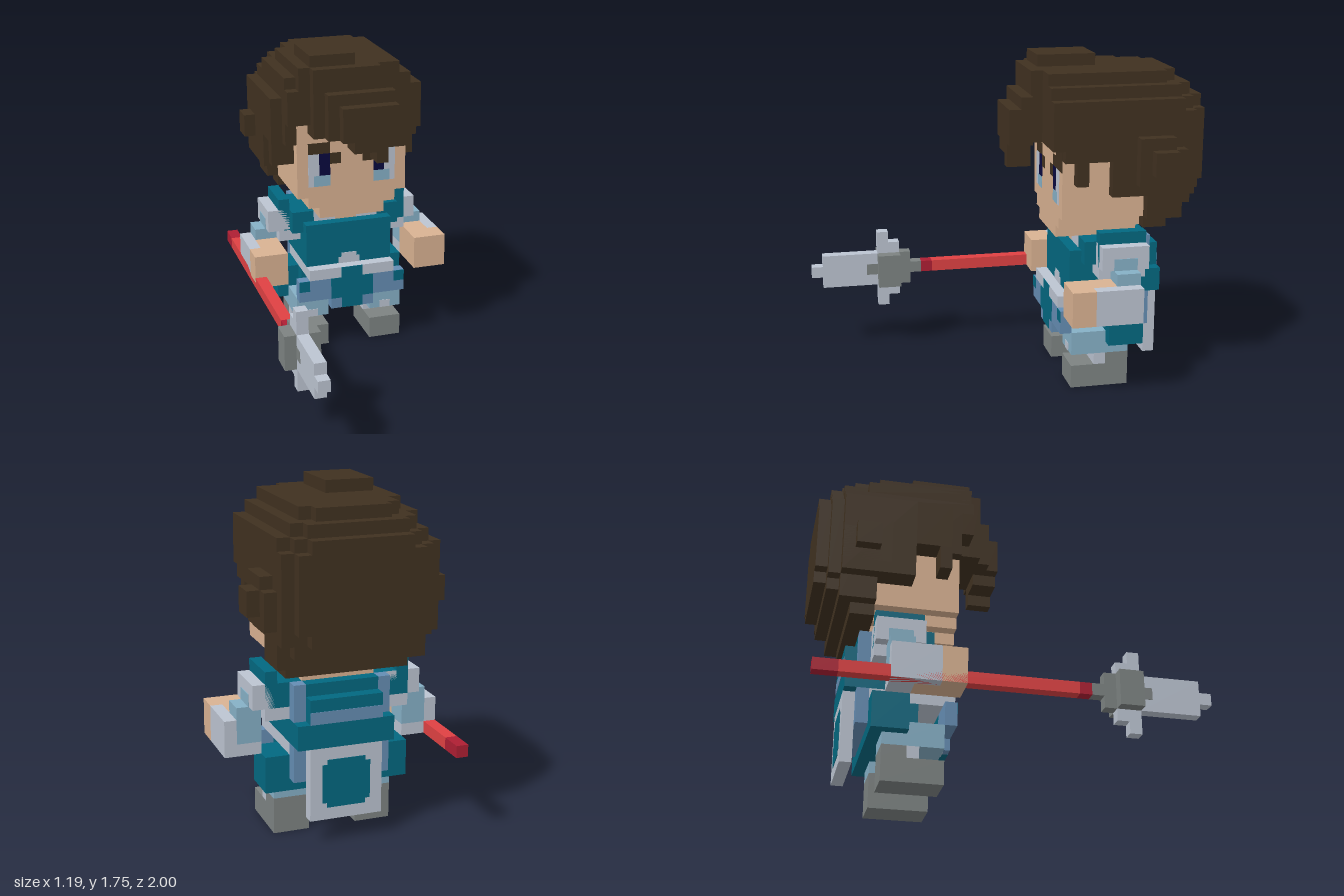
import * as THREE from 'three';

const U = 0.0625; // one voxel

const mat = (name, color) => {
  const m = new THREE.MeshStandardMaterial({ color });
  m.name = name;
  return m;
};

export function createModel() {
  const hair = mat('hairBrown', 0x403120), skin = mat('skin', 0xd9b292);
  const teal = mat('teal', 0x026880), pale = mat('paleBlue', 0x86b0c6);
  const slate = mat('slateBlue', 0x658db3), silver = mat('silver', 0xbcc4d1);
  const iron = mat('iron', 0x7d8382), red = mat('red', 0xdf4143);
  const darkRed = mat('darkRed', 0xae1f33), navy = mat('navy', 0x08083f);

  const root = new THREE.Group();
  root.name = 'voxelKnight';
  // Adds a named group of boxes; each is [x0, x1, y0, y1, z0, z1] in voxels
  const part = (name, material, boxes, mirrored = false) => {
    const g = new THREE.Group();
    g.name = name;
    const all = mirrored
      ? boxes.concat(boxes.map(([a, b, ...r]) => [20 - b, 20 - a, ...r]))
      : boxes;
    for (const [x0, x1, y0, y1, z0, z1] of all) {
      const m = new THREE.Mesh(
        new THREE.BoxGeometry((x1 - x0) * U, (y1 - y0) * U, (z1 - z0) * U), material);
      m.position.set(((x0 + x1) / 2 - 9.5) * U, (y0 + y1) / 2 * U, ((z0 + z1) / 2 - 16) * U);
      m.name = name;
      g.add(m);
    }
    root.add(g);
  };

  // Head
  part('head', skin, [[5, 15, 15, 24, 5, 12], [6, 14, 14, 15, 5, 12], [7, 13, 13, 14, 5, 12]]);

  // Hair: crown and back in layers with stepped corners
  part('hairCrown', hair, [
    [6, 10, 27, 28, 8, 13],
    [5, 14, 26, 27, 5, 13], [6, 14, 26, 27, 3, 5], [7, 13, 26, 27, 2, 3],
    [4, 15, 25, 26, 4, 12], [5, 15, 25, 26, 2, 13], [6, 14, 25, 26, 1, 2],
    [4, 16, 24, 25, 2, 13], [5, 15, 24, 25, 1, 2],
  ]);
  part('hairBack', hair, [
    [5, 15, 18, 24, 0, 1], [6, 14, 17, 25, 0, 1],
    [4, 16, 17, 24, 1, 2], [5, 15, 16, 17, 1, 2],
    [4, 16, 15, 24, 2, 5], [5, 15, 14, 15, 3, 5],
  ]);
  part('hairSide', hair, [
    [15, 16, 17, 24, 5, 8], [15, 16, 20, 24, 8, 12], [15, 16, 18, 20, 10, 11],
    [16, 17, 18, 22, 3, 6], [16, 17, 18, 21, 2, 3], [17, 18, 19, 21, 3, 5],
  ], true);
  part('hairSweep', hair, [[3, 4, 17, 24, 2, 8], [3, 4, 20, 24, 8, 11], [3, 4, 18, 20, 10, 11]]);
  part('fringe', hair, [[4, 6, 22, 24, 12, 13], [6, 16, 21, 24, 12, 13]]);
  part('forelock', hair, [
    [6, 12, 21, 27, 13, 14], [7, 13, 21, 25, 14, 15], [8, 13, 21, 24, 15, 16],
    [9, 12, 20, 21, 14, 16], [11, 12, 19, 20, 14, 16],
  ]);

  // Painted face
  const f = 12, e = 12.04;
  part('brow', hair, [
    [6, 8, 19, 20, f, e], [8, 9, 18, 19, f, e], [11, 12, 18, 19, f, e],
    [12, 15, 19, 20, f, e], [13, 15, 20, 21, f, e],
  ]);
  part('iris', navy, [[7, 8, 17, 19, f, e]], true);
  part('eyeWhite', silver, [[6, 7, 17, 19, f, e], [6, 6.5, 16, 17, f, e]], true);
  part('eyeLower', pale, [[6.5, 8, 16, 17, f, e]], true);

  // Tunic
  part('chest', teal, [[6, 14, 8, 12, 5, 11], [5, 15, 11, 13, 5, 10]]);
  part('shoulderStrap', teal, [[15, 16, 11, 14, 5, 9]], true);
  part('collar', silver, [[7, 9, 12, 13, 10, 10.05]], true);
  part('throat', skin, [[9, 11, 12, 13, 10, 10.05]]);
  part('belt', silver, [
    [6, 14, 7, 8, 5, 12], [9, 11, 8, 8.6, 11, 11.05], [9.3, 10.7, 8.6, 9, 11, 11.05],
  ]);
  part('pelvis', teal, [[6, 14, 4, 7, 5, 9]]);
  part('hipGuard', teal, [[14, 16, 4, 7, 5, 8]], true);
  part('skirtFront', slate, [[5, 8, 5, 7, 11, 12]], true);
  part('skirtCorner', teal, [[5, 6, 6, 7, 12, 12.04]], true);
  part('tabard', teal, [
    [9, 11, 7, 8, 12, 12.04], [8, 12, 5, 7, 11, 12.04], [9, 11, 4, 5, 11, 12.04],
  ]);
  part('tabardTrim', slate, [[8, 9, 4, 5, 11, 12]], true);

  // Back cape and hanging panel, its inset painted on both faces
  part('capeLining', slate, [[6, 14, 5, 8, 4, 5]]);
  part('capeEdge', slate, [[6, 7, 10, 13, 4, 5]], true);
  part('cape', teal, [[7, 13, 8, 12, 3, 4], [7, 13, 10, 13, 4, 5], [6, 14, 8, 10, 3, 5]]);
  part('capeStripe', slate, [[7, 13, 10, 11, 2.96, 3]]);
  part('backPanel', silver, [[7, 13, 2, 8, 3, 4]]);
  part('backPanelInset', teal, [
    [8, 12, 3.4, 6.6, 2.96, 3], [8.4, 11.6, 3, 7, 2.96, 3], [8, 12, 3, 5, 4, 4.04],
  ]);

  // Arms
  part('shoulderPad', silver, [[16, 17, 11, 13, 5, 9], [14, 16, 10, 13, 5, 9]], true);
  part('shoulderPadInset', pale, [[17, 17.05, 11, 12, 6, 8]], true);
  part('upperArm', pale, [[16, 18, 8, 11, 6, 8]], true);
  part('forearm', silver, [[18, 19, 7, 10, 6, 10], [16, 18, 7, 8, 6, 8]], true);
  part('hand', skin, [[16, 19, 7, 10, 10, 12], [16, 18, 7, 10, 8, 10]], true);

  // Legs
  part('thigh', pale, [[5, 8, 3, 5, 6, 11]], true);
  part('kneePlate', silver, [[6, 7, 3, 3.7, 11, 11.05]], true);
  part('shin', silver, [[5, 8, 2, 3, 8, 9]], true);
  part('boot', iron, [[5, 8, 0, 2, 6, 11], [5, 8, 2, 3, 6, 8]], true);

  // Spear
  part('spearShaft', red, [[1, 2, 7, 8, 2, 21]]);
  part('spearShaftEnd', darkRed, [[1, 2, 7, 8, 0, 2], [1, 2, 7, 8, 21, 22]]);
  part('spearSocket', iron, [
    [1, 2, 7, 8, 22, 23], [1, 2, 6, 9, 23, 24],
    [0, 1, 6, 9, 24, 26], [2, 3, 6, 9, 24, 26],
    [0.96, 1, 7, 8, 26, 27], [2, 2.04, 7, 8, 26, 27],
  ]);
  part('spearGuard', silver, [[1, 2, 4, 11, 25, 26], [1, 2, 5, 10, 24, 25]]);
  part('spearBlade', silver, [[1, 2, 6, 9, 26, 31], [1, 2, 7, 8, 31, 32]]);

  return root;
}
